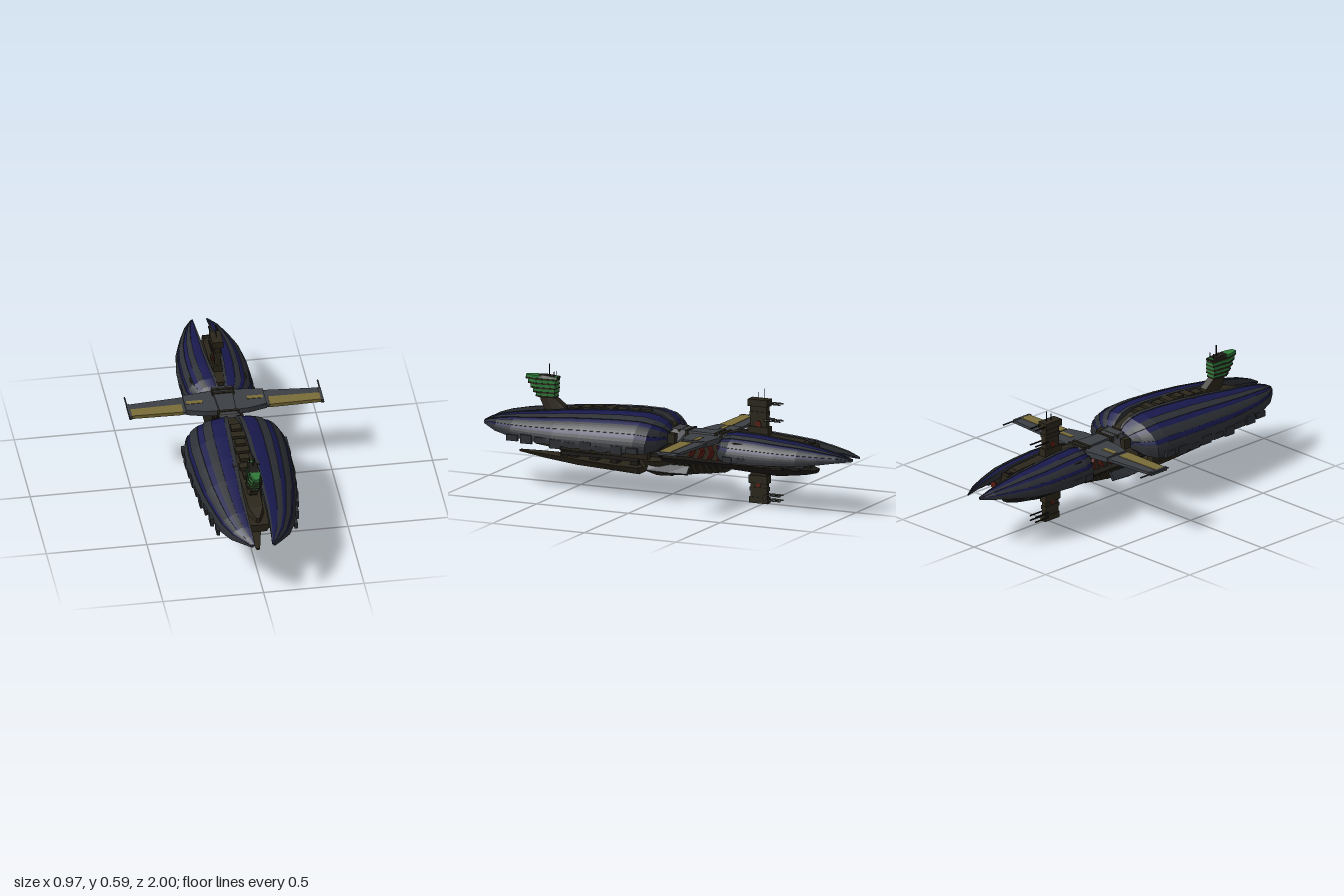
import * as THREE from 'three';
import { mergeGeometries } from 'three/addons/utils/BufferGeometryUtils.js';

const C = { hull: 0x2c2f34, blue: 0x18194c, brown: 0x2b261b, dark: 0x1c1a16, yellow: 0x7a6c38, green: 0x2f7a3a, red: 0x5a1c14, wing: 0x3c3f44 };
const mats = {};
for (const k in C) mats[k] = new THREE.MeshStandardMaterial({ color: C[k], flatShading: true });

let seed = 7;
const rnd = () => (seed = (seed * 16807) % 2147483647) / 2147483647;

export function createModel() {
  const root = new THREE.Group();
  const add = (name, geo, mat) => {
    const m = new THREE.Mesh(geo, mats[mat]);
    m.name = name;
    root.add(m);
    return m;
  };

  // Closed skin over matching rings of points, capped at both ends
  const loft = (rings) => {
    const n = rings[0].length, pos = rings.flat(2), idx = [];
    for (let i = 0; i < rings.length - 1; i++) for (let j = 0; j < n; j++) {
      const a = i * n + j, b = i * n + (j + 1) % n;
      idx.push(a, b, b + n, a, b + n, a + n);
    }
    // caps are strips between the first and second half of a ring
    const last = (rings.length - 1) * n;
    for (let j = 0; j < n / 2 - 1; j++) {
      const a = j, b = j + 1, c = n - 2 - j, d = n - 1 - j;
      idx.push(a, c, b, a, d, c);
      idx.push(last + a, last + b, last + c, last + a, last + c, last + d);
    }
    // turn the skin outward if its signed volume is negative
    const v = (k) => new THREE.Vector3().fromArray(pos, k * 3);
    let vol = 0;
    for (let k = 0; k < idx.length; k += 3) vol += v(idx[k]).dot(v(idx[k + 1]).cross(v(idx[k + 2])));
    if (vol < 0) idx.reverse();
    const g = new THREE.BufferGeometry();
    g.setAttribute('position', new THREE.Float32BufferAttribute(pos, 3));
    g.setIndex(idx);
    g.computeVertexNormals();
    return g;
  };
  // Trapezoid body along z: rows of [z, half width low, half width high, y low, y high]
  const hull = (rows, cx = 0) => loft(rows.map(([z, wl, wh, y0, y1]) =>
    [[cx - wl, y0, z], [cx + wl, y0, z], [cx + wh, y1, z], [cx - wh, y1, z]]));
  const box = (x, y, z, w, h, d) => new THREE.BoxGeometry(w, h, d).translate(x, y, z);
  const rod = (x, y, z, r, len, axis = 'z') => {
    const g = new THREE.CylinderGeometry(r, r, len, 8);
    if (axis === 'z') g.rotateX(Math.PI / 2);
    if (axis === 'x') g.rotateZ(Math.PI / 2);
    return g.translate(x, y, z);
  };
  const both = (f) => [f(1), f(-1)];

  // Striped armour shells: rows of [z, inner x, outer x, top y, bottom y]
  const bands = [[0, .06, 'hull'], [.06, .25, 'blue'], [.25, .39, 'hull'], [.39, .5, 'blue'], [.5, .68, 'hull'], [.68, .77, 'blue'], [.77, 1, 'hull']];
  const shell = (name, rows) => {
    for (const [t0, t1, mat] of bands) {
      const lift = mat === 'hull' ? 0.004 : 0;
      const geos = both((s) => loft(rows.map(([z, xi, xo, yt, yb]) => {
        const thick = Math.min(0.03, (yt - yb) * 0.4, (xo - xi) * 0.4);
        const pt = (t, off) => {
          const a = t * Math.PI / 2;
          return [s * (xi + (xo - xi + off) * Math.sin(a)), yb + (yt - yb + off) * Math.pow(Math.max(0, Math.cos(a)), 0.85), z];
        };
        const out = [], inn = [];
        for (let k = 0; k <= 4; k++) {
          const t = t0 + (t1 - t0) * k / 4;
          out.push(pt(t, lift));
          inn.unshift(pt(t, -thick));
        }
        return [...out, ...inn];
      })));
      add(name + (mat === 'blue' ? 'Stripe' : 'Plate'), mergeGeometries(geos), mat);
    }
  };
  shell('frontShell', [[-.02, .02, .13, .34, .27], [0, .02, .185, .37, .25], [.04, .025, .235, .395, .24], [.1, .03, .25, .408, .24],
    [.22, .035, .258, .408, .24], [.4, .04, .25, .397, .24], [.55, .045, .235, .382, .24], [.7, .05, .205, .362, .245],
    [.8, .05, .182, .35, .25], [.9, .048, .142, .33, .262], [.96, .045, .095, .31, .272], [1, .042, .055, .288, .274]]);
  shell('rearShell', [[-.3, .015, .12, .325, .25], [-.32, .015, .145, .34, .235], [-.37, .02, .17, .352, .225], [-.5, .03, .176, .35, .225],
    [-.62, .035, .172, .34, .23], [-.74, .036, .155, .33, .235], [-.84, .037, .122, .312, .245], [-.93, .036, .085, .293, .257], [-1, .034, .042, .27, .262]]);

  // Jagged plates along the shell edges
  const edge = [];
  for (let i = 0; i < 9; i++) {
    const z = .1 + i * .085, x = .255 - Math.pow(z, 3) * .13;
    edge.push(...both((s) => box(s * x, .255 - (i % 3) * .004, z, .016, .03 + (i % 2) * .014, .06)));
  }
  for (let i = 0; i < 6; i++) {
    const z = -.38 - i * .075;
    edge.push(...both((s) => box(s * (.172 - i * i * .0016), .24, z, .016, .03, .05)));
  }
  add('edgePlates', mergeGeometries(edge), 'hull');

  // Front belly and stepped underside
  add('frontBelly', hull([[0, .13, .15, .23, .33], [.1, .17, .2, .22, .35], [.5, .16, .18, .22, .33], [.72, .1, .12, .235, .31], [.85, .04, .06, .26, .3]]), 'brown');
  add('lowerBelly', hull([[.02, .1, .12, .2, .24], [.45, .1, .13, .195, .24], [.62, .06, .1, .205, .24]]), 'dark');
  add('bellyBeams', mergeGeometries(both((s) => hull([[.05, .02, .025, .2, .25], [.5, .02, .025, .21, .25], [.66, .012, .016, .225, .25]], s * .165))), 'brown');

  // Central deck with blocks stepping toward the bow
  add('deck', hull([[-.02, .05, .03, .3, .35], [.1, .075, .05, .3, .39], [.4, .07, .05, .3, .39], [.6, .055, .04, .29, .365], [.76, .045, .035, .28, .345], [.83, .01, .008, .29, .325]]), 'brown');
  const blocks = [];
  for (let i = 0; i < 7; i++) blocks.push(box(0, .39 - Math.max(0, i - 4) * .009, .14 + i * .065, .05 + (i % 2) * .02, .032, .045));
  for (let i = 0; i < 10; i++) blocks.push(...both((s) => box(s * .056, .375 - Math.max(0, i - 6) * .011, .12 + i * .055, .018, .04, .03)));
  add('deckBlocks', mergeGeometries(blocks), 'brown');

  // Bridge tower with lit window rows and masts
  add('towerNeck', hull([[.58, .025, .02, .35, .385], [.64, .025, .018, .35, .43], [.69, .02, .018, .37, .46], [.71, .018, .016, .41, .46]]), 'brown');
  const tiers = [], lights = [];
  for (let i = 0; i < 5; i++) {
    const w = .026 + .014 * Math.sin((i + 1.2) * .58), y = .425 + i * .021, d = .105 + i * .016, z = .685 + i * .006;
    const tier = (k, h, yy) => hull([[z - d / 2, w * k * .75, w * k * .75, yy, yy + h], [z + d * .2, w * k, w * k, yy, yy + h], [z + d / 2, w * k * .5, w * k * .5, yy, yy + h]]);
    tiers.push(tier(1, .008, y));
    lights.push(tier(.92, .015, y + .007));
  }
  add('bridgeDecks', mergeGeometries(tiers), 'brown');
  add('bridgeWindows', mergeGeometries(lights), 'green');
  add('bridgeRoof', hull([[.62, .022, .018, .52, .53], [.7, .03, .022, .52, .535], [.76, .018, .012, .52, .527]]), 'dark');
  add('masts', mergeGeometries([rod(0, .555, .67, .003, .07, 'y'), rod(.012, .54, .64, .002, .03, 'y'), rod(-.012, .54, .64, .002, .03, 'y')]), 'dark');

  // Long keel blade, its pylons and bow guns
  add('keelBlade', hull([[.16, .045, .06, .092, .125], [.3, .05, .07, .1, .13], [.5, .045, .06, .108, .138], [.68, .025, .038, .122, .144], [.83, .006, .01, .138, .147]]), 'brown');
  add('keelPylons', mergeGeometries([.2, .31, .42, .53, .58].map((z) => box(0, .17, z, .05, .08, .04))), 'dark');
  add('keelRail', mergeGeometries(both((s) => box(s * .05, .165, .37, .02, .018, .42))), 'dark');
  add('bowGuns', mergeGeometries([...both((s) => rod(s * .045, .205, .63, .005, .2)), ...both((s) => box(s * .045, .2, .53, .03, .03, .09))]), 'dark');
  add('keelBody', hull([[-.02, .04, .07, .1, .18], [.06, .05, .09, .098, .175], [.12, .04, .08, .11, .17], [.17, .02, .03, .14, .19]]), 'brown');
  add('keelFlares', mergeGeometries(both((s) => loft([[.1, .0], [-.02, .012], [-.12, .0]].map(([z, w]) =>
    [[s * .05, .15, z], [s * (.075 + w), .118, z], [s * (.09 + w), .128, z], [s * .06, .165, z]])))), 'hull');

  // Neck joining the two hulls
  add('neckSpine', hull([[.02, .08, .05, .275, .345], [-.06, .08, .05, .28, .34], [-.1, .05, .04, .285, .335], [-.32, .06, .05, .28, .335]]), 'wing');
  add('neckCollar', mergeGeometries([...both((s) => box(s * .085, .3, -.03, .03, .05, .06)), ...[-.02, -.06, -.1, -.26, -.29].map((z) => box(0, .31, z, .11, .06, .014))]), 'brown');
  add('neckFloor', hull([[.02, .07, .1, .17, .2], [-.3, .06, .1, .17, .2], [-.6, .05, .085, .155, .2], [-.74, .03, .06, .17, .2], [-.79, .012, .03, .18, .195]]), 'dark');

  // Chevron ribs in the neck, and ribs hanging from the keel
  const chevron = (w) => {
    const s = new THREE.Shape([[0, 0], [w, 0], [w + .022, .045], [w, .09], [0, .09], [.022, .045]].map((p) => new THREE.Vector2(...p)));
    return new THREE.ExtrudeGeometry(s, { depth: .11, bevelEnabled: false }).rotateY(Math.PI / 2).translate(-.055, .195, 0);
  };
  const ribs = [], glow = [], hang = [];
  for (let i = 0; i < 6; i++) {
    ribs.push(chevron(.024).translate(0, 0, -.025 - i * .052));
    glow.push(chevron(.006).scale(1.02, 1, 1).translate(0, 0, -.049 - i * .052));
  }
  for (let i = 0; i < 8; i++) {
    const z = -.035 - i * .036, y = .105 + i * .005;
    hang.push(hull([[z - .013, .03, .075, y, .18], [z + .013, .03, .075, y - .002, .18]]));
  }
  add('neckRibs', mergeGeometries(ribs), 'brown');
  add('ribLights', mergeGeometries(glow), 'red');
  add('keelRibs', mergeGeometries(hang), 'brown');

  // Rear body, spine and engines
  add('rearBelly', hull([[-.3, .1, .1, .215, .31], [-.4, .14, .14, .21, .32], [-.62, .13, .13, .21, .31], [-.76, .09, .09, .225, .295]]), 'brown');
  add('rearSpine', hull([[-.33, .03, .02, .3, .35], [-.42, .036, .028, .3, .352], [-.7, .034, .026, .28, .335], [-.79, .025, .02, .28, .32]]), 'brown');
  add('rearSpineBlocks', mergeGeometries([-.56, -.61, -.66, -.71, -.76].map((z) => box(0, .333 + (z + .56) * .06, z, .032, .016, .028))), 'dark');
  add('engines', mergeGeometries([-.07, 0, .07].map((x) => new THREE.CylinderGeometry(.03, .022, .08, 14).rotateX(Math.PI / 2).translate(x, .25, -.755))), 'dark');
  add('engineGlow', mergeGeometries([-.07, 0, .07].map((x) => rod(x, .25, -.796, .02, .004))), 'red');

  // Wings with yellow leading panels and tip rods
  const slab = (pts, y, h) => mergeGeometries(both((s) => loft([y, y + h].map((yy) => pts.map(([x, z]) => [s * x, yy, z])))));
  add('wings', slab([[.03, -.29], [.03, -.14], [.48, -.155], [.48, -.255]], .304, .014), 'wing');
  add('wingRoots', slab([[.03, -.3], [.03, -.12], [.11, -.125], [.2, -.15], [.2, -.28], [.11, -.29]], .298, .028), 'wing');
  add('wingPanels', slab([[.215, -.215], [.215, -.146], [.478, -.152], [.478, -.21]], .3025, .018), 'yellow');
  add('wingStripes', slab([[.11, -.225], [.11, -.2], [.19, -.2], [.19, -.225]], .297, .031), 'yellow');
  add('wingTips', mergeGeometries([...both((s) => rod(s * .48, .313, -.23, .004, .19)), ...both((s) => box(s * .476, .312, -.2, .014, .018, .11))]), 'wing');

  // Upright fins above and below the stern, with their rods
  const fin = (z, w, y0, y1) => box(0, (y0 + y1) / 2, z, w, y1 - y0, .09);
  add('upperFin', mergeGeometries([fin(-.475, .03, .33, .52), box(0, .365, -.475, .045, .04, .11), box(0, .505, -.475, .055, .035, .105), box(0, .45, -.475, .04, .02, .095)]), 'brown');
  add('lowerFin', mergeGeometries([fin(-.475, .026, 0, .17), box(0, .12, -.475, .042, .04, .1), box(0, .015, -.475, .032, .03, .1), box(0, .07, -.475, .034, .018, .095)]), 'brown');
  add('finMarks', mergeGeometries(both((s) => mergeGeometries([rod(s * .016, .4, -.475, .016, .006, 'x'), rod(s * .014, .095, -.475, .014, .006, 'x')]))), 'red');
  const rods = [rod(0, .545, -.5, .002, .06, 'y'), rod(0, .535, -.47, .002, .04, 'y')];
  for (const y of [.505, .42, .045, .02]) rods.push(...both((s) => rod(s * .018, y, -.55, .004, .09)));
  add('finRods', mergeGeometries(rods), 'dark');

  // Small machinery scattered under the hulls
  const bits = [];
  for (let i = 0; i < 70; i++) {
    const front = i < 45, z = front ? .04 + rnd() * .55 : -.36 - rnd() * .36;
    bits.push(box((rnd() - .5) * (front ? .3 : .22), front ? .217 : .21, z, .012 + rnd() * .03, .015 + rnd() * .02, .02 + rnd() * .05));
  }
  add('underMachinery', mergeGeometries(bits), 'dark');
  return root;
}
